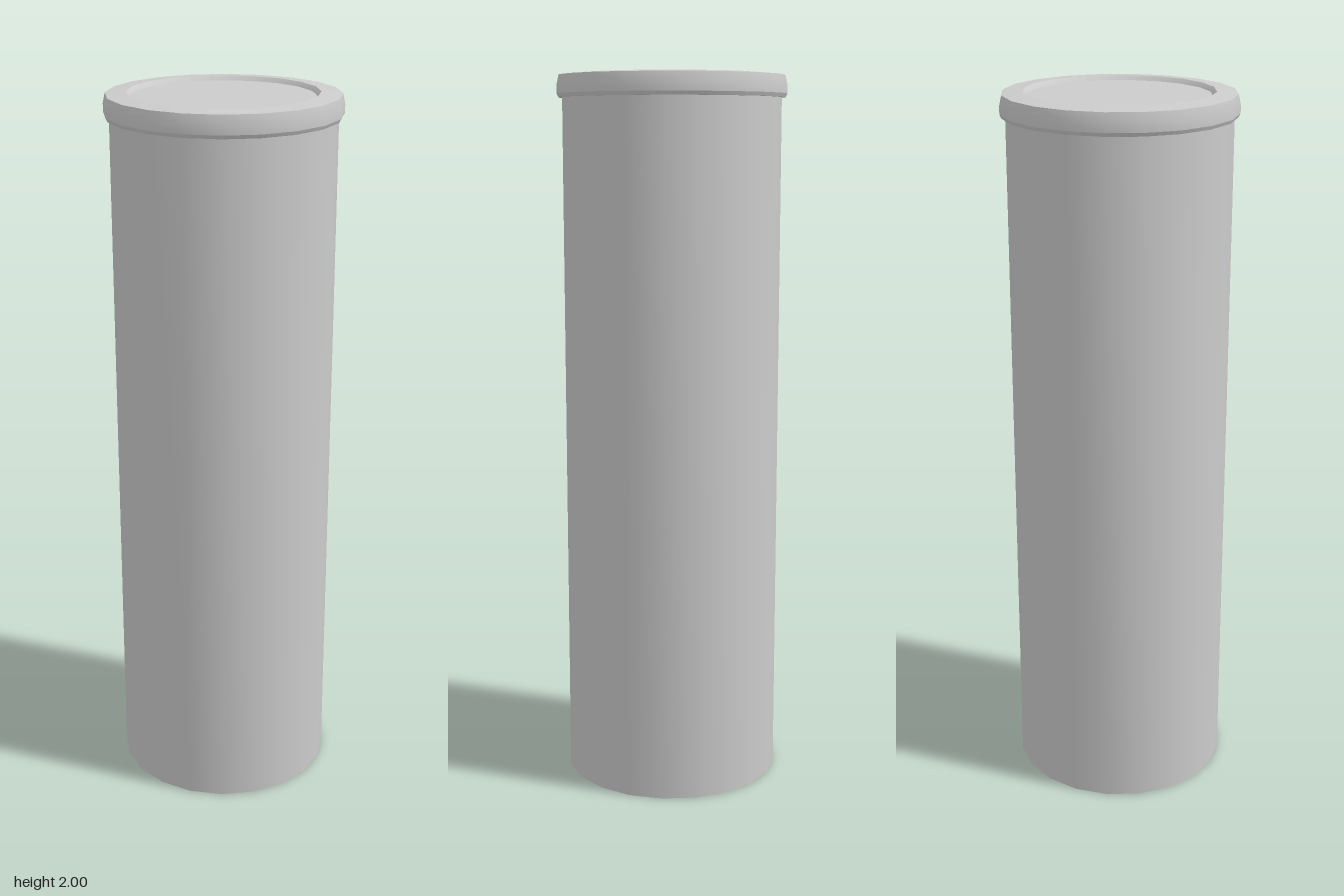
import * as THREE from 'three';
import { toCreasedNormals } from 'three/addons/utils/BufferGeometryUtils.js';

const SIDES = 20;

// Turn a profile of [radius, height] pairs into a smooth part with sharp rims.
function turned(name, profile) {
  const points = profile.map(([r, y]) => new THREE.Vector2(r, y));
  const geometry = toCreasedNormals(new THREE.LatheGeometry(points, SIDES), 0.4);
  const material = new THREE.MeshStandardMaterial({ color: 0xcccccc, side: THREE.DoubleSide });
  const mesh = new THREE.Mesh(geometry, material);
  mesh.name = name;
  return mesh;
}

export function createModel() {
  const group = new THREE.Group();
  group.name = 'canister';

  // Thin tube, open at the bottom
  group.add(turned('tubeBody', [[0.305, 0], [0.305, 1.94]]));

  // Overhanging lid: underside, skirt, bevelled rim, recessed panel
  group.add(turned('lid', [
    [0.305, 1.935],
    [0.315, 1.935],
    [0.32, 1.945],
    [0.32, 1.968],
    [0.314, 1.995],
    [0.257, 2],
    [0.252, 1.995],
    [0.247, 1.988],
    [0, 1.988],
  ]));

  return group;
}
